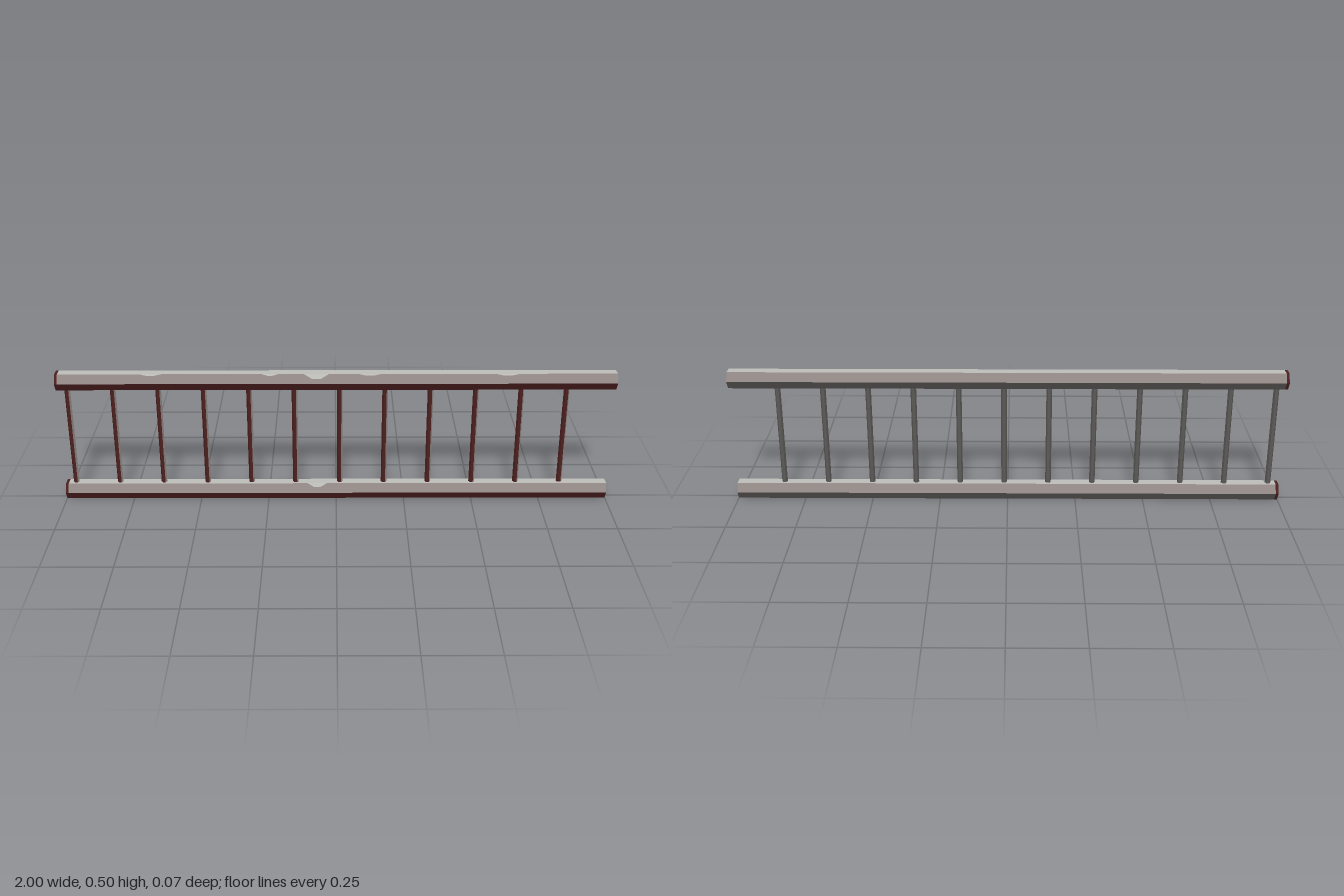
import * as THREE from 'three';

function flatColour(name, hex) {
  const material = new THREE.MeshStandardMaterial({ color: hex });
  material.name = name;
  return material;
}

const steel = flatColour('warm grey steel', 0x928885);
const bright = flatColour('light worn steel', 0xbcbcb8);
const dark = flatColour('dark grey steel', 0x5b5957);
const rust = flatColour('dark rust', 0x4c1e1e);
const materials = [steel, bright, dark, rust];
const [STEEL, BRIGHT, DARK, RUST] = [0, 1, 2, 3];

// Flat-sided hexagonal bar along y; sides lists the colour of each face in turn, caps are steel
function hexBar(radius, length, thetaStart, sides) {
  const indexed = new THREE.CylinderGeometry(radius, radius, length, 6, 1, false, thetaStart);
  const flat = indexed.toNonIndexed();
  flat.clearGroups();
  sides.forEach((colour, i) => flat.addGroup(i * 6, 6, colour));
  flat.addGroup(36, indexed.index.count - 36, STEEL);
  flat.computeVertexNormals();
  return flat;
}

export function createModel() {
  const ladder = new THREE.Group();
  ladder.name = 'ladder';
  const lowY = 0.031;
  const highY = 0.469;
  const railRadius = 0.0355;
  const bandLength = 0.01;

  // Rail faces in turn: lower front, bottom, lower back, upper back, top, upper front
  const railSides = [RUST, DARK, DARK, STEEL, BRIGHT, STEEL];
  const railGeometry = hexBar(railRadius, 2 - bandLength, 0, railSides).rotateZ(-Math.PI / 2);
  const bandGeometry = hexBar(railRadius, bandLength, 0, Array(6).fill(RUST)).rotateZ(-Math.PI / 2);

  // Worn patches on the upper front face, hanging from its top edge: [x, width, depth]
  const wornPatches = {
    lowerRail: [[-0.07, 0.07, 0.014]],
    upperRail: [
      [-0.66, 0.08, 0.006], [-0.235, 0.06, 0.006], [-0.07, 0.09, 0.018],
      [0.12, 0.08, 0.006], [0.61, 0.09, 0.006],
    ],
  };

  for (const [name, y] of [['lowerRail', lowY], ['upperRail', highY]]) {
    const side = new THREE.Group();
    side.name = name;
    side.position.y = y;

    const bar = new THREE.Mesh(railGeometry, materials);
    bar.name = 'railBar';
    bar.position.x = bandLength / 2;
    const band = new THREE.Mesh(bandGeometry, materials);
    band.name = 'railEndBand';
    band.position.x = -1 + bandLength / 2;
    side.add(bar, band);

    const face = new THREE.Group();
    face.name = 'wornPatches';
    face.rotation.x = -Math.PI / 6;
    for (const [x, width, depth] of wornPatches[name]) {
      const top = railRadius / 2;
      const shape = new THREE.Shape([
        new THREE.Vector2(-width / 2, top),
        new THREE.Vector2(-width / 6, top - depth),
        new THREE.Vector2(width / 6, top - depth),
        new THREE.Vector2(width / 2, top),
      ]);
      const patch = new THREE.Mesh(new THREE.ShapeGeometry(shape), bright);
      patch.name = 'wornPatch';
      patch.position.set(x, 0, railRadius * Math.cos(Math.PI / 6) + 0.0008);
      face.add(patch);
    }
    side.add(face);
    ladder.add(side);
  }

  // Twelve evenly spaced rungs, set slightly towards one end, rust on the front
  const rungSides = [STEEL, DARK, DARK, DARK, RUST, RUST];
  const rungGeometry = hexBar(0.0104, highY - lowY, Math.PI / 6, rungSides);
  for (let i = 0; i < 12; i++) {
    const rung = new THREE.Mesh(rungGeometry, materials);
    rung.name = `rung${i + 1}`;
    rung.position.set(-0.963 + i * 0.1627, (lowY + highY) / 2, 0);
    ladder.add(rung);
  }
  return ladder;
}
